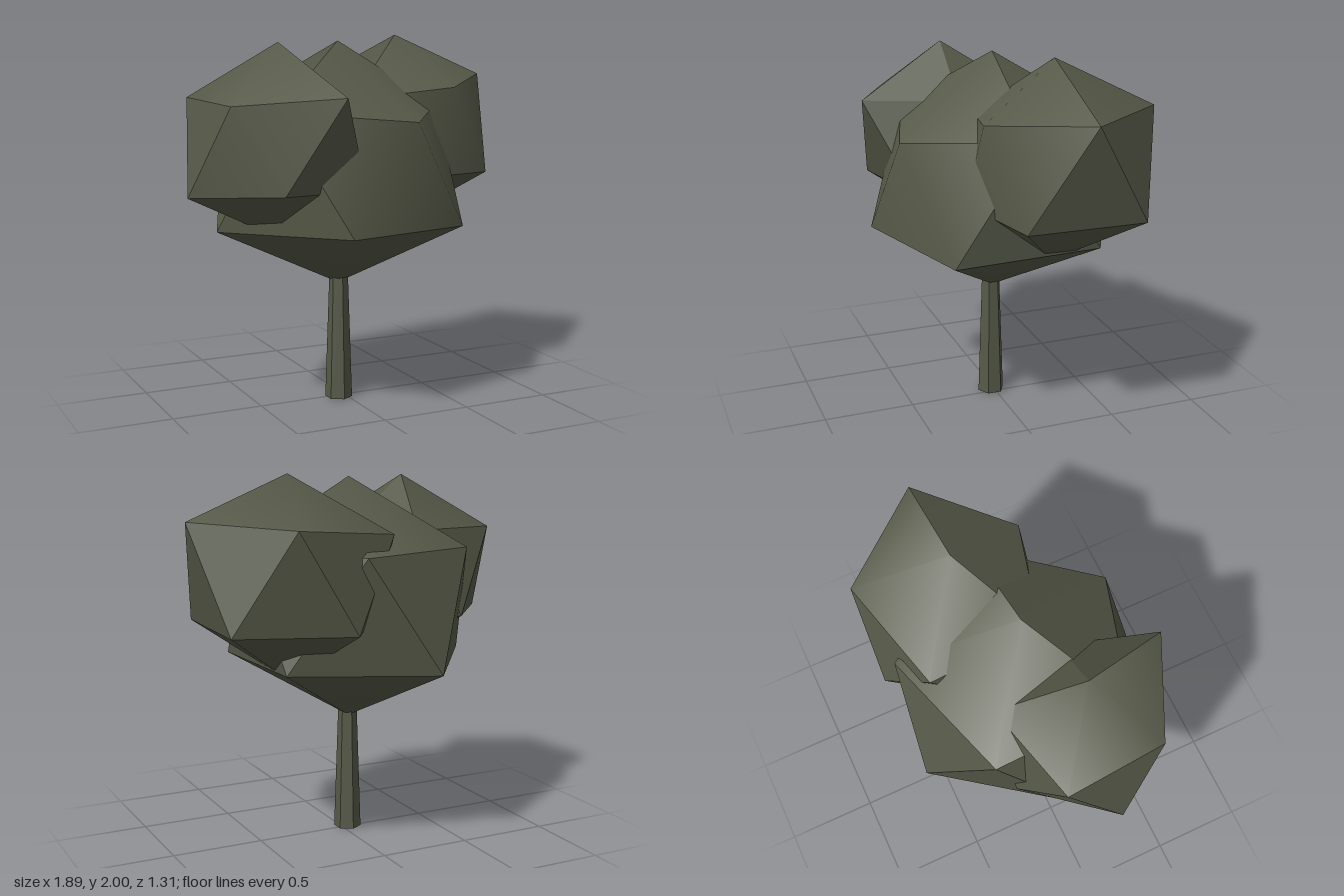
import * as THREE from 'three';
import { mergeGeometries } from 'three/addons/utils/BufferGeometryUtils.js';

// Irregular icosahedron: apex, two five-point rings of [radius, y], and a low point.
// Each entry of "smooth" lists faces that share soft normals; all others stay flat.
function clumpGeometry({ x, z, top, bottom, upper, lower, smooth }) {
  const ring = (points, offset) => points.map(([r, y], i) => {
    const a = (offset + i * 72) * Math.PI / 180;
    return [x + r * Math.cos(a), y, z + r * Math.sin(a)];
  });
  const points = [[x, top, z], ...ring(upper, 0), ...ring(lower, 36), [x, bottom, z]];
  const faces = {};
  for (let i = 0; i < 5; i++) {
    const j = (i + 1) % 5;
    const u = 1 + i, v = 1 + j, l = 6 + i, m = 6 + j;
    faces['top' + i] = [0, v, u];
    faces['down' + i] = [u, v, l];
    faces['up' + i] = [v, m, l];
    faces['base' + i] = [11, l, m];
  }
  const grouped = smooth.flat();
  const flat = Object.keys(faces).filter((k) => !grouped.includes(k)).map((k) => [k]);
  const parts = [...smooth, ...flat].map((names) => {
    const g = new THREE.BufferGeometry();
    g.setAttribute('position', new THREE.Float32BufferAttribute(points.flat(), 3));
    g.setIndex(names.flatMap((n) => faces[n]));
    g.computeVertexNormals();
    return g.toNonIndexed();
  });
  return mergeGeometries(parts);
}

export function createModel() {
  const tree = new THREE.Group();
  tree.name = 'tree';
  const olive = new THREE.MeshStandardMaterial({ color: 0x565948 });
  olive.name = 'dark olive';

  const add = (name, geometry) => {
    const mesh = new THREE.Mesh(geometry, olive);
    mesh.name = name;
    tree.add(mesh);
    return mesh;
  };

  // Tapered six-sided trunk
  const trunkGeometry = new THREE.CylinderGeometry(0.05, 0.075, 0.74, 6).toNonIndexed();
  trunkGeometry.computeVertexNormals();
  add('trunk', trunkGeometry).position.set(-0.04, 0.37, 0.015);

  const base = ['base0', 'base1', 'base2', 'base3', 'base4'];
  const backTop = ['top2', 'top3', 'top4'];
  const frontTop = ['top0', 'top1'];
  const frontSide = ['down0', 'up0', 'down1'];

  // Foliage: large middle clump with one on each side
  add('middleFoliage', clumpGeometry({
    x: -0.04, z: 0.005, top: 1.97, bottom: 0.65,
    upper: [[0.61, 1.62], [0.6, 1.565], [0.62, 1.62], [0.64, 1.6], [0.635, 1.6]],
    lower: [[0.685, 0.985], [0.667, 1.0], [0.7, 0.98], [0.69, 0.98], [0.68, 1.0]],
    smooth: [base, backTop, frontTop, frontSide],
  }));
  add('rightFoliage', clumpGeometry({
    x: -0.45, z: 0.16, top: 1.965, bottom: 0.95,
    upper: [[0.32, 1.69], [0.52, 1.7], [0.435, 1.66], [0.49, 1.68], [0.45, 1.69]],
    lower: [[0.46, 1.21], [0.427, 1.225], [0.495, 1.19], [0.46, 1.21], [0.46, 1.21]],
    smooth: [base, ['top1', 'top2', 'top3'], ['up1', 'down1']],
  }));
  add('leftFoliage', clumpGeometry({
    x: 0.395, z: -0.165, top: 2.0, bottom: 0.925,
    upper: [[0.55, 1.775], [0.45, 1.72], [0.5, 1.66], [0.55, 1.7], [0.51, 1.755]],
    lower: [[0.525, 1.235], [0.45, 1.235], [0.5, 1.23], [0.52, 1.225], [0.55, 1.235]],
    smooth: [base, backTop, frontTop, frontSide],
  }));
  return tree;
}
